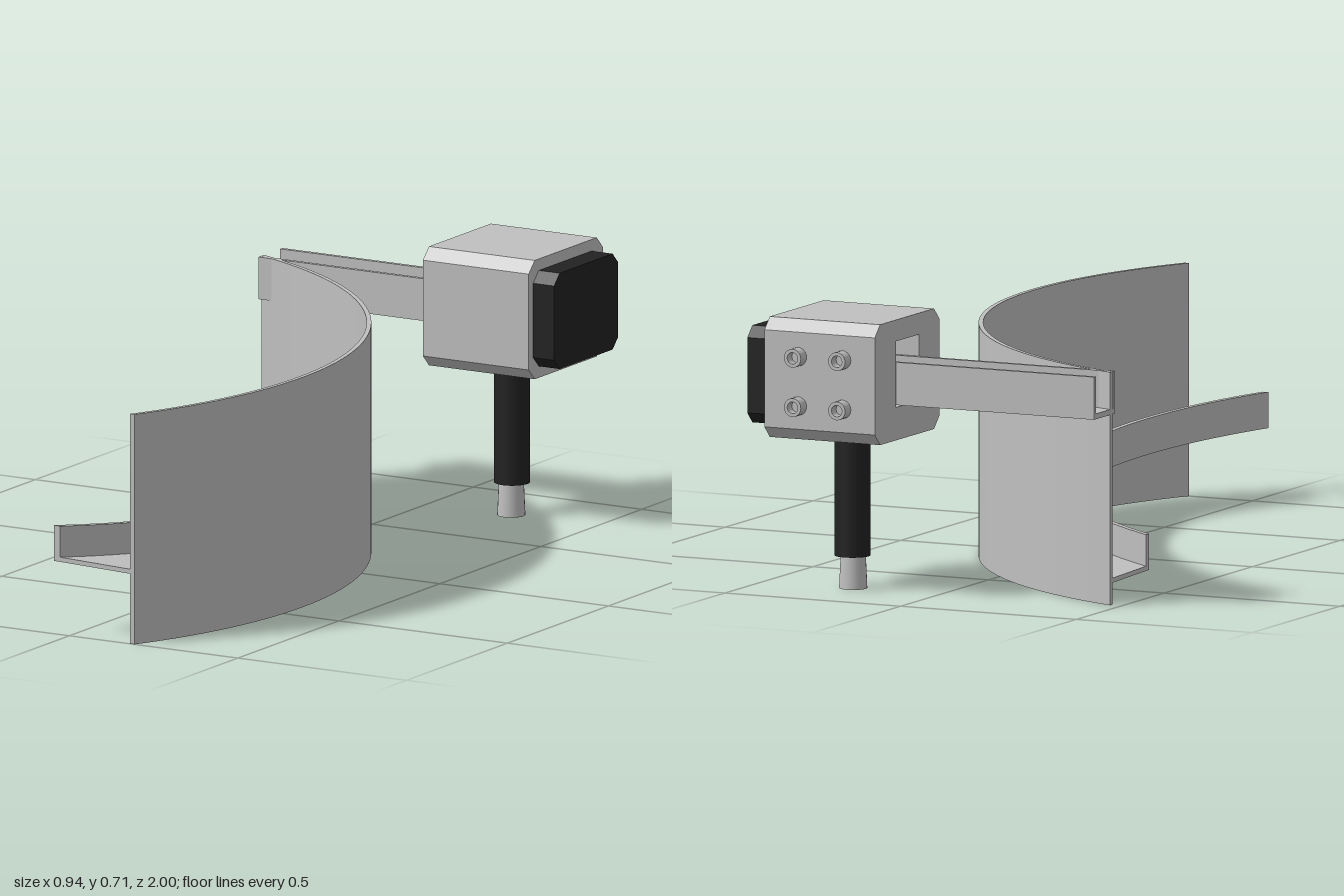
import * as THREE from 'three';

const CX = -0.9, CZ = 0.415;        // centre of the curved wall
const BACK_X = -0.47, FRONT_Z = 1;  // planes that trim its two ends

// Rectangle (radius r0..r1, height y0..y1) swept round the arc, trimmed by both planes
function arcStrip(r0, r1, y0, y1, slope, steps = 48) {
  const profile = [[r0, y0], [r1, y0], [r1, y1], [r0, y1]];
  const pos = [], idx = [];
  for (let k = 0; k <= steps; k++) {
    for (const [r, y] of profile) {
      const a0 = -Math.acos((BACK_X - CX) / r);
      const a1 = Math.asin((FRONT_Z - CZ) / r);
      const a = a0 + (a1 - a0) * k / steps;
      pos.push(CX + r * Math.cos(a), y + slope * a, CZ + r * Math.sin(a));
    }
  }
  for (let k = 0; k < steps; k++) {
    for (let i = 0; i < 4; i++) {
      const a = k * 4 + i, b = k * 4 + (i + 1) % 4;
      idx.push(a, b, b + 4, a, b + 4, a + 4);
    }
  }
  const e = steps * 4;
  idx.push(0, 2, 1, 0, 3, 2, e, e + 1, e + 2, e, e + 2, e + 3);
  const g = new THREE.BufferGeometry();
  g.setAttribute('position', new THREE.Float32BufferAttribute(pos, 3));
  g.setIndex(idx);
  const flat = g.toNonIndexed();
  flat.computeVertexNormals();
  return flat;
}

// Chamfered rectangle with u = -z, v = y
function chamferedShape(u0, u1, v0, v1, c) {
  return new THREE.Shape([
    [u0 + c, v0], [u1 - c, v0], [u1, v0 + c], [u1, v1 - c],
    [u1 - c, v1], [u0 + c, v1], [u0, v1 - c], [u0, v0 + c],
  ].map(([u, v]) => new THREE.Vector2(u, v)));
}

function extrudeAlongX(shape, x0, x1) {
  const g = new THREE.ExtrudeGeometry(shape, { depth: x1 - x0, bevelEnabled: false });
  return g.rotateY(Math.PI / 2).translate(x0, 0, 0);
}

export function createModel() {
  const grey = new THREE.MeshStandardMaterial({ color: 0xc0c0c0 });
  grey.name = 'light grey';
  const black = new THREE.MeshStandardMaterial({ color: 0x222222 });
  black.name = 'black';
  const model = new THREE.Group();
  const add = (name, geometry, material, x = 0, y = 0, z = 0, parent = model) => {
    const mesh = new THREE.Mesh(geometry, material);
    mesh.name = name;
    mesh.position.set(x, y, z);
    parent.add(mesh);
    return mesh;
  };

  // Curved wall with a sloping ledge and lip on its inner side
  const slope = 0.074;
  add('curvedWall', arcStrip(1.228, 1.24, 0, 0.6, 0), grey);
  add('ledgeFloor', arcStrip(1.035, 1.23, 0.146, 0.158, slope), grey);
  add('ledgeLip', arcStrip(1.035, 1.05, 0.146, 0.239, slope), grey);

  // Slotted channel rail, open at the top
  const rail = new THREE.Group();
  rail.name = 'rail';
  model.add(rail);
  const railX0 = -0.47, railX1 = 0.39, len = railX1 - railX0, mid = (railX0 + railX1) / 2;
  for (const [name, z] of [['railFrontSide', -0.726], ['railBackSide', -0.834]]) {
    add(name, new THREE.BoxGeometry(len, 0.11, 0.012), grey, mid, 0.545, z, rail);
  }
  const web = new THREE.Shape();
  web.moveTo(railX0, 0.72).lineTo(railX1, 0.72).lineTo(railX1, 0.84).lineTo(railX0, 0.84);
  const slot = new THREE.Path();
  slot.moveTo(-0.425, 0.77);
  slot.lineTo(0.37, 0.77).lineTo(0.37, 0.8).lineTo(-0.425, 0.8);
  slot.absarc(-0.425, 0.785, 0.015, Math.PI / 2, Math.PI * 1.5, false);
  web.holes.push(slot);
  const webGeometry = new THREE.ExtrudeGeometry(web, { depth: 0.014, bevelEnabled: false });
  add('railBase', webGeometry.rotateX(-Math.PI / 2), grey, 0, 0.49, 0, rail);

  // Chamfered housing with an opening for the rail
  const housing = chamferedShape(0.6, 0.967, 0.4, 0.71, 0.03);
  housing.holes.push(new THREE.Path([
    [0.715, 0.485], [0.715, 0.655], [0.845, 0.655], [0.845, 0.485],
  ].map(([u, v]) => new THREE.Vector2(u, v))));
  add('housing', extrudeAlongX(housing, 0.09, 0.404), grey);
  add('sideCover', extrudeAlongX(chamferedShape(0.622, 0.94, 0.43, 0.68, 0.028), 0.4, 0.466), black);

  // Four hollow studs on the back
  const stud = new THREE.LatheGeometry([
    [0.024, 0], [0.024, 0.037], [0.015, 0.037], [0.015, 0.01], [0, 0.01],
  ].map(([r, y]) => new THREE.Vector2(r, y)), 20).toNonIndexed();
  stud.computeVertexNormals();
  stud.rotateX(-Math.PI / 2);
  for (const x of [0.182, 0.308]) {
    for (const y of [0.49, 0.617]) add('stud', stud, grey, x, y, -0.963);
  }

  // Hanging rod with a pale tip
  add('rod', new THREE.CylinderGeometry(0.046, 0.046, 0.32, 32), black, 0.247, 0.245, -0.78);
  add('rodTip', new THREE.CylinderGeometry(0.032, 0.036, 0.09, 24), grey, 0.247, 0.045, -0.776);

  return model;
}
